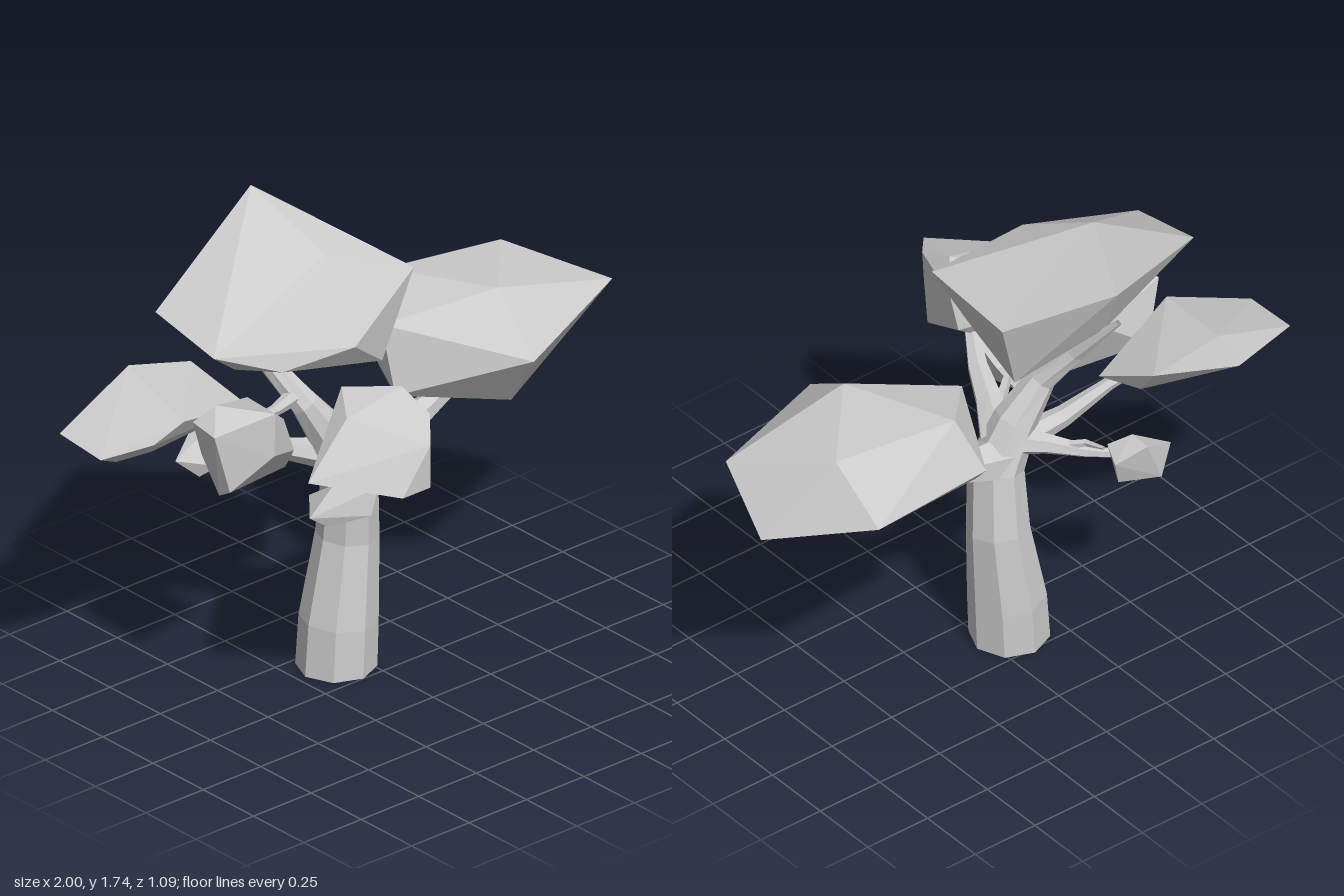
import * as THREE from 'three';
import { ConvexGeometry } from 'three/addons/geometries/ConvexGeometry.js';

const leafMat = new THREE.MeshStandardMaterial({ color: 0xcccccc, flatShading: true });
const barkMat = new THREE.MeshStandardMaterial({ color: 0xcccccc, flatShading: true, side: THREE.DoubleSide });
const UP = new THREE.Vector3(0, 1, 0);

// Tapered limb: rings of `sides` corners swept along points [x, y, z, radius]
function limb(name, path, sides) {
  const pts = path.map(p => new THREE.Vector3(p[0], p[1], p[2]));
  const pos = [], idx = [];
  pts.forEach((c, i) => {
    const dir = pts[Math.min(i + 1, pts.length - 1)].clone().sub(pts[Math.max(i - 1, 0)]).normalize();
    if (c.y === 0) dir.copy(UP); // flat cut at the ground
    const q = new THREE.Quaternion().setFromUnitVectors(UP, dir);
    for (let k = 0; k < sides; k++) {
      const a = (k / sides) * Math.PI * 2;
      const v = new THREE.Vector3(Math.cos(a), 0, Math.sin(a)).multiplyScalar(path[i][3]).applyQuaternion(q).add(c);
      pos.push(v.x, v.y, v.z);
      if (i) {
        const n = (k + 1) % sides, lo = (i - 1) * sides, hi = i * sides;
        idx.push(lo + k, hi + k, lo + n, lo + n, hi + k, hi + n);
      }
    }
  });
  const g = new THREE.BufferGeometry();
  g.setAttribute('position', new THREE.Float32BufferAttribute(pos, 3));
  g.setIndex(idx);
  g.computeVertexNormals();
  const m = new THREE.Mesh(g, barkMat);
  m.name = name;
  return m;
}

// Faceted leaf clump: hull around a few corner points
function clump(name, corners) {
  const m = new THREE.Mesh(new ConvexGeometry(corners.map(c => new THREE.Vector3(...c))), leafMat);
  m.name = name;
  return m;
}

export function createModel() {
  const tree = new THREE.Group();
  tree.name = 'tree';

  // Trunk bending into the tall rear branch, then the side limbs and twigs
  tree.add(
    limb('trunk', [
      [-0.085, 0, -0.135, 0.135], [-0.075, 0.17, -0.135, 0.132], [-0.037, 0.47, -0.135, 0.106],
      [-0.045, 0.7, -0.115, 0.095], [-0.12, 0.86, -0.125, 0.075], [-0.21, 1, -0.15, 0.05],
      [-0.28, 1.13, -0.24, 0.036], [-0.335, 1.31, -0.395, 0.01],
    ], 8),
    limb('leftBranch', [
      [-0.06, 0.73, -0.125, 0.085], [0.06, 0.755, -0.125, 0.065], [0.28, 0.82, -0.125, 0.045], [0.5, 0.91, -0.13, 0.025],
    ], 6),
    limb('frontBranch', [
      [-0.07, 0.78, -0.1, 0.07], [-0.13, 0.845, 0.03, 0.048], [-0.165, 0.9, 0.13, 0.036], [-0.24, 0.99, 0.27, 0.02],
    ], 6),
    limb('rearBranch', [
      [-0.07, 0.8, -0.13, 0.055], [-0.17, 0.79, -0.22, 0.036], [-0.27, 0.77, -0.32, 0.022], [-0.36, 0.78, -0.43, 0.012],
    ], 6),
    limb('rightRearBranch', [
      [-0.08, 0.77, -0.13, 0.055], [-0.27, 0.84, -0.19, 0.036], [-0.42, 0.93, -0.24, 0.022], [-0.56, 1, -0.3, 0.012],
    ], 6),
    limb('rightBranch', [[-0.23, 1.03, -0.17, 0.032], [-0.36, 1.03, -0.13, 0.02], [-0.52, 1.06, -0.08, 0.01]], 6),
    limb('frontTwig', [[-0.12, 0.8, 0, 0.028], [-0.22, 0.8, 0.07, 0.02], [-0.34, 0.82, 0.17, 0.01]], 5),
    limb('rearTwig', [[-0.2, 0.78, -0.25, 0.018], [-0.26, 0.81, -0.32, 0.013], [-0.27, 0.83, -0.4, 0.006]], 5),
  );

  // Leaf clumps
  tree.add(
    clump('topLeaves', [
      [-0.26, 1.74, -0.36], [-0.2, 1.58, -0.06], [-0.71, 1.44, -0.32], [-0.71, 1.38, -0.03],
      [0.1, 1.47, 0.04], [0.1, 1.44, -0.33], [-0.3, 1.46, -0.43], [-0.23, 1.32, 0.125],
      [-0.49, 1.29, 0.06], [-0.06, 1.19, 0.065], [0, 1.15, -0.27], [-0.48, 1.2, -0.19],
      [-0.61, 1.33, -0.1], [-0.32, 1.26, -0.34],
    ]),
    clump('leftLeaves', [
      [0.15, 1.155, -0.18], [0.15, 0.92, -0.11], [0.34, 1.22, -0.38], [0.51, 1.235, -0.01],
      [0.775, 1.21, -0.3], [0.98, 1.12, 0.02], [1, 0.93, -0.19],
      [0.46, 1.07, 0.225], [0.505, 0.85, 0.06], [0.28, 0.98, -0.42], [0.28, 1.04, -0.47], [0.73, 1.01, -0.47],
    ]),
    clump('frontLeaves', [
      [-0.61, 1.025, 0.325], [-0.42, 1.19, 0.3], [-0.19, 1.235, 0.31], [-0.27, 1.135, 0.545],
      [-0.39, 0.98, 0.545], [-0.27, 0.98, 0.545], [-0.18, 1.18, 0.44], [-0.12, 1.16, 0.22],
      [-0.32, 1.22, 0.16], [-0.3, 1.02, 0.16], [-0.17, 0.92, 0.4], [-0.28, 0.91, 0.23],
      [-0.14, 1.02, 0.2], [-0.45, 0.96, 0.27],
    ]),
    clump('rightRearLeaves', [
      [-0.995, 1.03, -0.47], [-1, 1.015, -0.26], [-0.72, 1.04, -0.545], [-0.67, 1.16, -0.5],
      [-0.42, 1.1, -0.475], [-0.36, 1, -0.26], [-0.83, 1.04, -0.19], [-0.88, 0.945, -0.32],
      [-0.7, 0.91, -0.35], [-0.72, 1.1, -0.165], [-0.44, 0.98, -0.38],
    ]),
    clump('rightLeaves', [
      [-0.75, 1.12, 0.02], [-0.74, 1.13, -0.1], [-0.675, 1.185, -0.06], [-0.555, 1.175, 0.1],
      [-0.475, 1.11, 0.05], [-0.45, 1.1, -0.16], [-0.56, 1.02, 0.1], [-0.43, 0.98, 0.05],
      [-0.7, 0.91, 0.04], [-0.695, 0.875, -0.02], [-0.39, 0.87, -0.04], [-0.64, 0.95, -0.17],
    ]),
    clump('smallFrontLeaves', [
      [-0.485, 0.8, 0.19], [-0.39, 0.895, 0.2], [-0.27, 0.88, 0.285], [-0.3, 0.785, 0.285],
      [-0.25, 0.85, 0.14], [-0.4, 0.82, 0.09], [-0.28, 0.755, 0.2], [-0.42, 0.755, 0.21], [-0.3, 0.76, 0.1],
    ]),
    clump('smallRearLeaves', [
      [-0.51, 0.77, -0.45], [-0.36, 0.865, -0.435], [-0.36, 0.86, -0.515], [-0.42, 0.71, -0.515],
      [-0.29, 0.71, -0.45], [-0.265, 0.8, -0.465], [-0.3, 0.82, -0.38], [-0.4, 0.75, -0.36], [-0.44, 0.705, -0.41],
    ]),
  );
  return tree;
}
